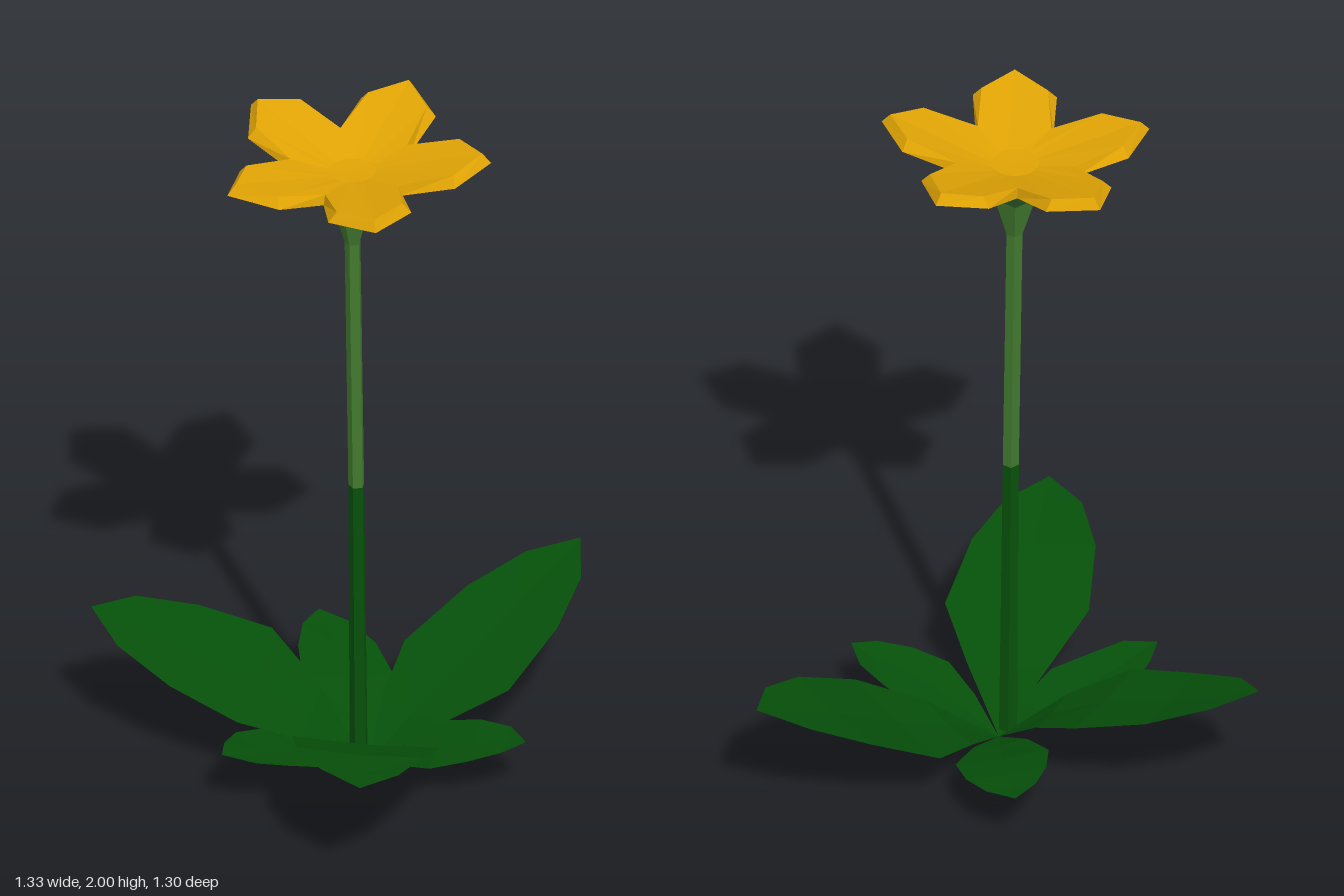
import * as THREE from 'three';

const mat = (name, color, side = THREE.FrontSide) => {
  const m = new THREE.MeshStandardMaterial({ color, side });
  m.name = name;
  return m;
};

// Unshared triangles give the faceted low-poly look
function facets(name, tris, material) {
  const g = new THREE.BufferGeometry();
  g.setAttribute('position', new THREE.Float32BufferAttribute(tris.flatMap((p) => p.toArray()), 3));
  g.computeVertexNormals();
  const mesh = new THREE.Mesh(g, material);
  mesh.name = name;
  return mesh;
}

const V = (x, y, z) => new THREE.Vector3(x, y, z);

// Skin two closed rings, lower (or outer) ring first
function band(low, high) {
  return low.flatMap((p, i) => {
    const j = (i + 1) % low.length;
    return [p, high[i], low[j], low[j], high[i], high[j]];
  });
}

// Five-sided tube through sections [x, y, z, radius]
function tube(name, sections, material) {
  const rings = sections.map(([x, y, z, r]) => Array.from({ length: 5 }, (_, i) => {
    const a = THREE.MathUtils.degToRad(-30 + 72 * i);
    return V(x + r * Math.cos(a), y, z + r * Math.sin(a));
  }));
  return facets(name, rings.slice(1).flatMap((ring, i) => band(rings[i], ring)), material);
}

// Arching leaf: three spine points plus a tip; side is the half-width vector
function leaf(name, side, spine, material) {
  const base = V(0.095, 0, -0.09);
  const half = V(...side);
  const pts = spine.map((p) => V(...p));
  const arch = base.clone().lerp(pts[0], 0.5);
  arch.y += 0.1 * pts[0].y;
  const rows = [arch, ...pts.slice(0, 3)].map((c, i) => {
    const w = [0.57, 1, 0.86, 0.53][i];
    return [
      c.clone().addScaledVector(half, -w),
      c.clone().add(V(0, -0.008, 0)),
      c.clone().addScaledVector(half, w),
    ];
  });
  const tris = [];
  for (let k = 0; k < 2; k++) {
    tris.push(base, rows[0][k + 1], rows[0][k]);
    for (let i = 0; i < 3; i++) {
      const [a, b, c, d] = [rows[i][k], rows[i][k + 1], rows[i + 1][k], rows[i + 1][k + 1]];
      tris.push(a, b, c, b, d, c);
    }
    tris.push(rows[3][k], rows[3][k + 1], pts[3]);
  }
  return facets(name, tris, material);
}

// Blossom: a five-petal star with a bevelled rim and a flat, sunken middle
function blossom(material) {
  // Per petal: notch, shoulder, tip, shoulder as x, z
  const petals = [
    [[0.21, -0.146], [0.354, -0.136], [0.435, -0.018], [0.34, 0.085]],
    [[0.19, 0.064], [0.225, 0.2], [0.132, 0.32], [0, 0.246]],
    [[-0.018, 0.107], [-0.136, 0.182], [-0.28, 0.132], [-0.25, -0.01]],
    [[-0.125, -0.079], [-0.234, -0.168], [-0.231, -0.311], [-0.086, -0.336]],
    [[0.014, -0.236], [0.068, -0.361], [0.207, -0.404], [0.275, -0.268]],
  ];
  const heights = [1.893, 1.928, 1.942, 1.928];
  const centre = V(0.055, 0, -0.06);
  const low = [], high = [];
  for (const petal of petals) {
    const mid = petal.slice(1).reduce((s, [x, z]) => s.add(V(x / 3, 0, z / 3)), V(0, 0, 0));
    mid.lerp(centre, 0.2);
    petal.forEach(([x, z], i) => {
      const p = V(x, heights[i] + 0.03 * x - 0.06 * z, z);
      const inward = (i ? mid : centre).clone().sub(p).setY(0).normalize();
      low.push(p);
      high.push(p.clone().addScaledVector(inward, i ? 0.025 : 0.01).add(V(0, 0.028, 0)));
    });
  }
  const inner = high.map((p) => p.clone().sub(centre).setY(0).setLength(0.065).add(centre).setY(1.9));
  const top = centre.clone().setY(1.898), under = centre.clone().setY(1.872);
  const tris = [...band(low, high), ...band(high, inner)];
  low.forEach((p, i) => {
    const j = (i + 1) % low.length;
    tris.push(top, inner[j], inner[i], under, p, low[j]);
  });
  return facets('blossom', tris, material);
}

export function createModel() {
  const leafGreen = mat('leaf green', 0x06500a, THREE.DoubleSide);
  const stemGreen = mat('stem green', 0x41782e);
  const calyxGreen = mat('calyx green', 0x357034);
  const gold = mat('petal gold', 0xdfa305);

  const group = new THREE.Group();
  group.name = 'flower';

  // Stem in two greens, flaring into the calyx
  group.add(
    tube('lowerStem', [[0.073, 0.02, -0.07, 0.026], [0.066, 0.9, -0.067, 0.023]], leafGreen),
    tube('upperStem', [[0.066, 0.9, -0.067, 0.023], [0.056, 1.67, -0.066, 0.023],
      [0.055, 1.79, -0.062, 0.058]], stemGreen),
    tube('calyx', [[0.055, 1.79, -0.062, 0.058], [0.055, 1.855, -0.06, 0.12],
      [0.055, 1.897, -0.06, 0.168]], calyxGreen),
    blossom(gold),
  );

  // Three large leaves
  group.add(
    leaf('frontLeaf', [0.2, -0.015, 0],
      [[0.1, 0.238, 0.19], [0.092, 0.32, 0.386], [0.095, 0.35, 0.542], [0.1, 0.36, 0.645]], leafGreen),
    leaf('rightLeaf', [0.04, 0.033, -0.2],
      [[-0.216, 0.228, -0.175], [-0.408, 0.288, -0.224], [-0.568, 0.347, -0.253], [-0.666, 0.38, -0.27]], leafGreen),
    leaf('backLeftLeaf', [0.147, 0.01, 0.147],
      [[0.33, 0.185, -0.32], [0.477, 0.29, -0.461], [0.585, 0.36, -0.573], [0.656, 0.4, -0.654]], leafGreen),
  );

  // Three small leaves
  group.add(
    leaf('backLeaf', [0.122, -0.015, -0.038],
      [[0.032, 0.125, -0.358], [-0.002, 0.155, -0.472], [-0.033, 0.172, -0.56], [-0.057, 0.18, -0.62]], leafGreen),
    leaf('smallLeftLeaf', [0.02, 0.006, -0.122],
      [[0.29, 0.105, -0.03], [0.39, 0.133, -0.005], [0.478, 0.152, 0.018], [0.532, 0.16, 0.043]], leafGreen),
    leaf('smallRightLeaf', [0.088, -0.01, 0.085],
      [[-0.1, 0.115, 0.02], [-0.185, 0.145, 0.08], [-0.243, 0.17, 0.147], [-0.293, 0.183, 0.18]], leafGreen),
  );
  return group;
}
